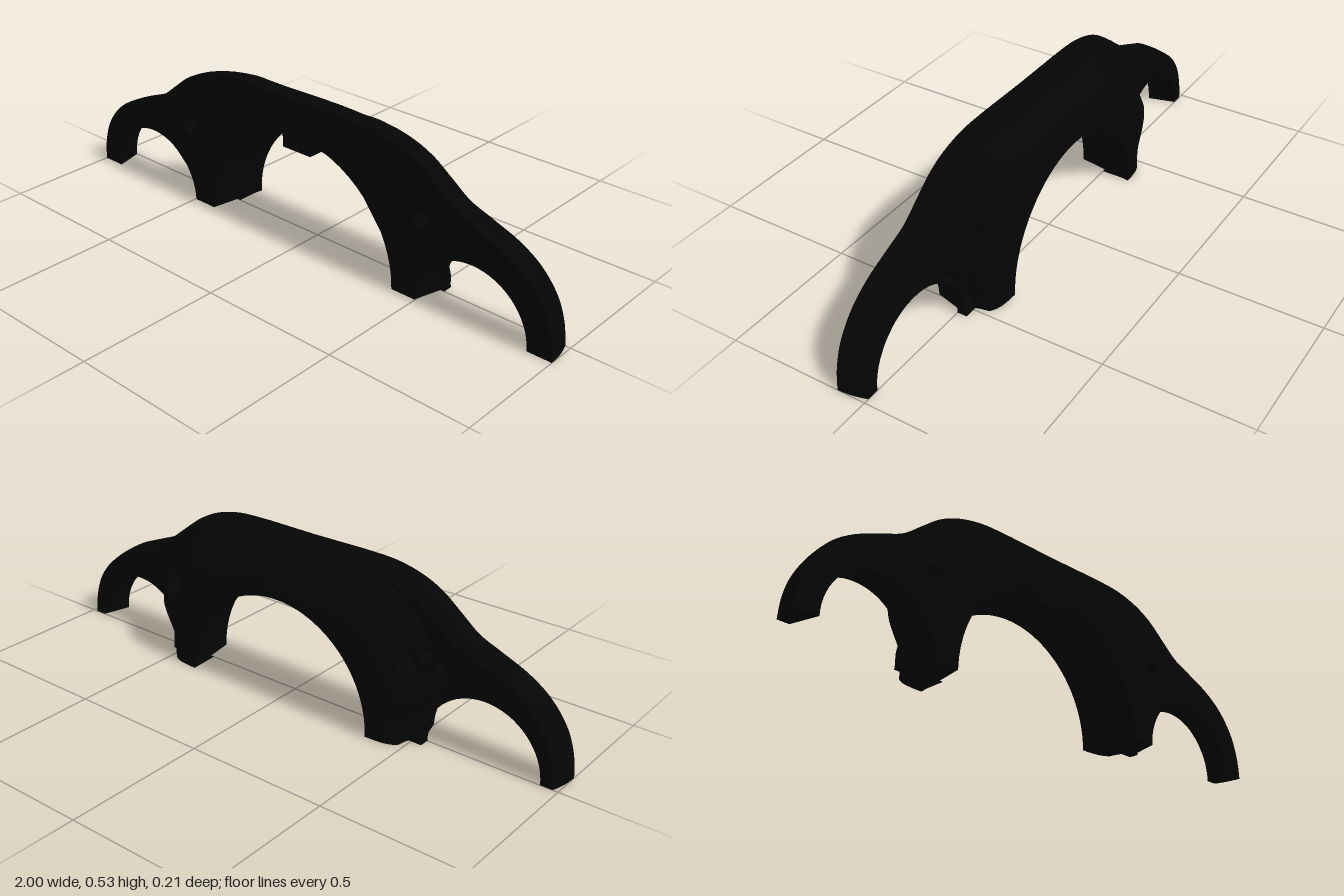
import * as THREE from 'three';
import { toCreasedNormals } from 'three/addons/utils/BufferGeometryUtils.js';

const ARCH = { back: 0.37, middle: 1.05, front: 1.095 };  // big arch radius, and its flare at z = 0 and 0.1
const SMALL = { x: 0.732, r: 0.208, skew: 0.027, recess: 0.25, lip: 0.035, lipEdge: 0.194 };
const HOLE = { x: 0.51, y: 0.288, r: 0.028, sink: 0.052 };
const { clamp, lerp, smoothstep } = THREE.MathUtils;

// outer edge of the back ring, every ten degrees from the foot to the top
const rim = new THREE.SplineCurve(
  [0.535, 0.552, 0.655, 0.63, 0.635, 0.62, 0.588, 0.544, 0.519, 0.51]
    .map((r, i) => new THREE.Vector2(i * 10, r)));
// ring depth from the big arch (0) to its rim (1)
const depthCurve = [[0, 0.105], [0.2, 0.104], [0.42, 0.1], [0.55, 0.093], [0.66, 0.082], [0.74, 0.07], [1, 0]];

const fold = (a) => Math.min(a, Math.PI - a);
const rimAt = (a) => rim.getPoint(clamp(fold(a) / (Math.PI / 2), 0, 1)).y;

// ring edge, cut back where the small arches begin
function edgeAt(a) {
  const f = fold(a), c = SMALL.x * Math.cos(f), h = SMALL.x * Math.sin(f);
  const q = SMALL.lipEdge ** 2 - h * h;
  return q > 0 ? Math.min(Math.max(rimAt(a), 0.545), c - Math.sqrt(q)) : rimAt(a);
}

function ringDepth(x, y) {
  const s = (Math.hypot(x, y) - ARCH.back) / (rimAt(Math.atan2(y, x)) - ARCH.back);
  if (s <= 0) return depthCurve[0][1];
  for (let i = 1; i < depthCurve.length; i++) {
    const [s0, d0] = depthCurve[i - 1], [s1, d1] = depthCurve[i];
    if (s <= s1) return lerp(d0, d1, (s - s0) / (s1 - s0));
  }
  return 0;
}

// ring depth with a stepped lip around each small arch, fading out upwards
function depthAt(x, y) {
  const d = ringDepth(x, y);
  const k = smoothstep(Math.hypot(Math.abs(x) - SMALL.x, y), SMALL.recess - 0.008, SMALL.recess + 0.002);
  const lip = SMALL.lip * Math.max(0, 1 - y / 0.2);
  return lerp(lip, d, k);
}

// the whole bracket leans forward very slightly
function lean(geo) {
  const p = geo.attributes.position;
  for (let i = 0; i < p.count; i++) p.setZ(i, p.getZ(i) + 0.0125 * p.getY(i));
  return geo;
}

function frontPlate() {
  const half = [[1, 0], [0.99, 0.08], [0.96, 0.16], [0.9, 0.235], [0.82, 0.29], [0.72, 0.333], [0.64, 0.367],
    [0.57, 0.42], [0.5, 0.472], [0.42, 0.508], [0.32, 0.529], [0.2, 0.533]].map((p) => new THREE.Vector2(...p));
  const shape = new THREE.Shape();
  shape.moveTo(1, 0);
  shape.splineThru(half.slice(1));
  shape.lineTo(0, 0.531);
  shape.lineTo(-0.2, 0.533);
  shape.splineThru(half.slice(0, -1).reverse().map((p) => new THREE.Vector2(-p.x, p.y)));
  // the three arches, from right to left
  for (const [x, r] of [[-SMALL.x, SMALL.r], [0, ARCH.back], [SMALL.x, SMALL.r]]) {
    shape.lineTo(x - r, 0);
    shape.absarc(x, 0, r, Math.PI, 0, true);
  }
  for (const s of [-1, 1]) {
    const hole = new THREE.Path();
    hole.absarc(s * HOLE.x, HOLE.y, HOLE.r, 0, Math.PI * 2, true);
    shape.holes.push(hole);
  }
  const geo = new THREE.ExtrudeGeometry(shape, { depth: 0.1, steps: 5, bevelEnabled: false, curveSegments: 16 });
  const p = geo.attributes.position;
  for (let i = 0; i < p.count; i++) {
    const x = p.getX(i), y = p.getY(i), t = p.getZ(i) / 0.1, ax = Math.abs(x);
    const nearHole = Math.hypot(ax - HOLE.x, y - HOLE.y) < 0.04;
    if (Math.hypot(x, y) < ARCH.back + 0.002) {
      // big arch flares towards the front
      const k = lerp(ARCH.middle, ARCH.front, t);
      p.setXY(i, x * k, y * k);
    } else if (Math.hypot(ax - SMALL.x, y) < SMALL.r + 0.004) {
      // small arches run inwards towards the front
      p.setX(i, x - Math.sign(x) * SMALL.skew * t);
    } else if (!nearHole) {
      // outer edge curves in towards the back
      const k = 1 - (1 - t) ** 2 * (0.04 - 0.022 * smoothstep(ax, 0.4, 0.95));
      p.setXY(i, x * k, y * k);
    }
  }
  return toCreasedNormals(lean(geo), 0.6);
}

function backRing() {
  const N = 180, M = 32, grid = [], pos = [];
  for (let i = 0; i <= N; i++) {
    const a = Math.PI * i / N, R = edgeAt(a), row = [];
    for (let j = -1; j <= M + 1; j++) {
      const r = j < 0 ? ARCH.back * ARCH.middle : lerp(ARCH.back, R, Math.min(j / M, 1));
      let x = r * Math.cos(a), y = r * Math.sin(a), inside = false;
      // push the surface out of the screw sinks
      const hx = Math.sign(x) * HOLE.x, d = Math.hypot(x - hx, y - HOLE.y);
      if (d < HOLE.sink) {
        inside = true;
        x = hx + (x - hx) * HOLE.sink / (d || 1);
        y = HOLE.y + (y - HOLE.y) * HOLE.sink / (d || 1);
      }
      const z = j < 0 || j > M ? 0 : -depthAt(x, y);
      row.push({ v: [x, y, z], inside });
    }
    grid.push(row);
  }
  const quad = (a, b, c, d) => pos.push(...a, ...b, ...c, ...b, ...d, ...c);
  for (let i = 0; i < N; i++) {
    for (let j = 0; j < M + 2; j++) {
      const q = [grid[i][j], grid[i + 1][j], grid[i][j + 1], grid[i + 1][j + 1]];
      if (!q.every((c) => c.inside)) quad(...q.map((c) => c.v));
    }
  }
  // soles of the two feet
  for (const i of [0, N]) {
    for (let j = 1; j <= M; j++) {
      const a = grid[i][j].v, b = grid[i][j + 1].v;
      const a0 = j === 1 ? grid[i][0].v : [a[0], a[1], 0], b0 = [b[0], b[1], 0];
      if (i === 0) quad(a0, a, b0, b); else quad(b0, b, a0, a);
    }
  }
  const geo = new THREE.BufferGeometry();
  geo.setAttribute('position', new THREE.Float32BufferAttribute(pos, 3));
  return toCreasedNormals(lean(geo), 0.6);
}

// sleeve of a screw sink, trimmed to the slope of the ring
function screwSink(side) {
  const geo = new THREE.CylinderGeometry(HOLE.sink, HOLE.sink, 1, 32, 1, true);
  geo.rotateX(Math.PI / 2);
  geo.translate(side * HOLE.x, HOLE.y, 0);
  const p = geo.attributes.position;
  for (let i = 0; i < p.count; i++) p.setZ(i, p.getZ(i) > 0 ? 0 : -depthAt(p.getX(i), p.getY(i)));
  return lean(geo);
}

export function createModel() {
  const group = new THREE.Group();
  const black = new THREE.MeshStandardMaterial({ color: 0x050505, side: THREE.DoubleSide });
  black.name = 'black';
  const add = (name, geo) => {
    const mesh = new THREE.Mesh(geo, black);
    mesh.name = name;
    group.add(mesh);
  };
  add('frontPlate', frontPlate());
  add('backRing', backRing());
  add('leftScrewSink', screwSink(1));
  add('rightScrewSink', screwSink(-1));

  // locating tab at the top of the big arch
  const tab = new THREE.BoxGeometry(0.12, 0.08, 0.055);
  tab.translate(0, 0.39, 0.07);
  add('locatingTab', lean(tab));
  return group;
}
